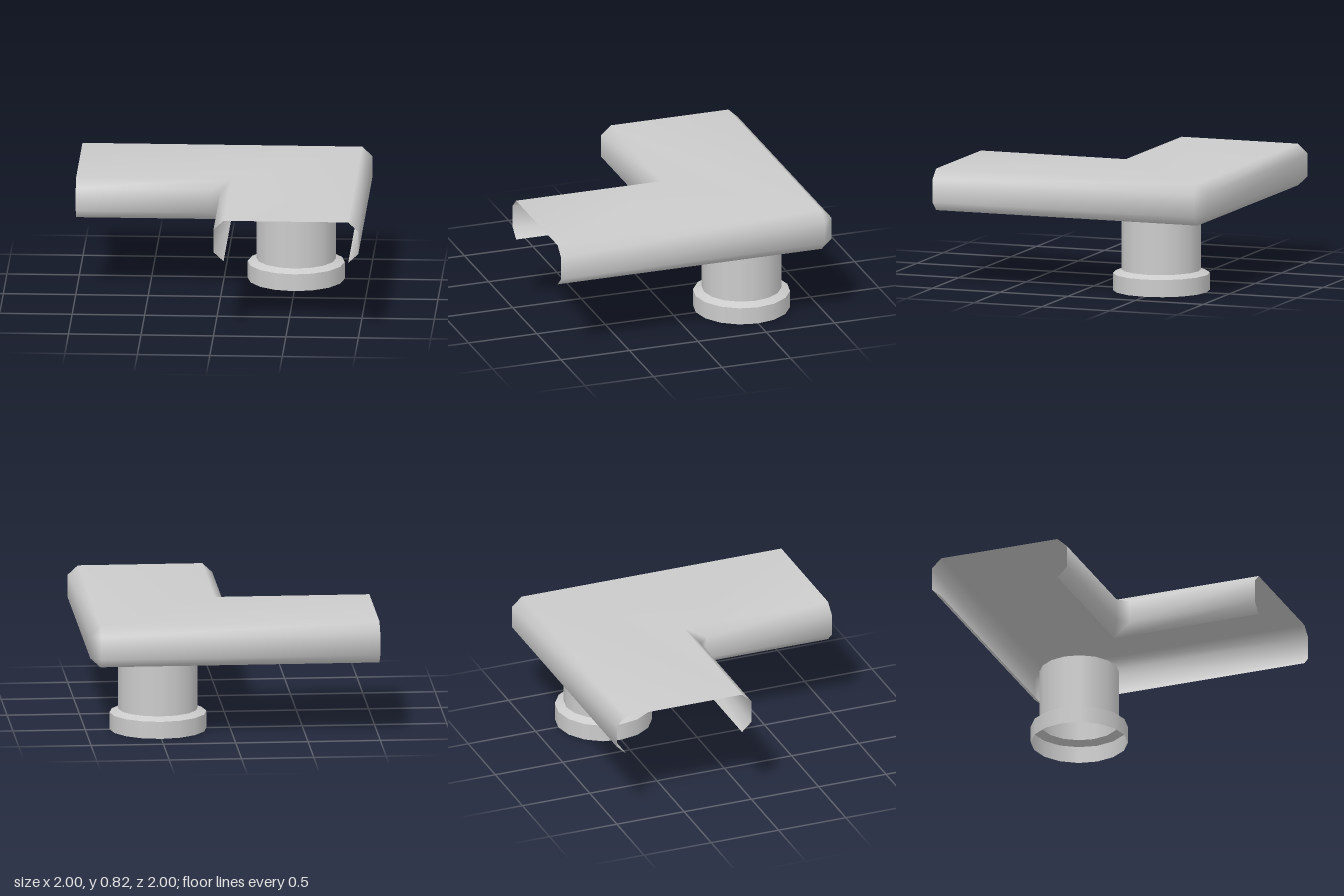
import * as THREE from 'three';
import { mergeVertices } from 'three/addons/utils/BufferGeometryUtils.js';

const material = new THREE.MeshStandardMaterial({ color: 0xcccccc, side: THREE.DoubleSide });

// L-shaped bent channel, open at both ends and underneath, chamfered edges
function cornerChannel() {
  const c = 0.07; // chamfer width
  const outerWall = [[-1, -1], [1 - c, -1], [1, c - 1], [1, 1]];
  const outerInset = [[-1, c - 1], [1 - c, c - 1], [1 - c, c - 1], [1 - c, 1]];
  const innerWall = [[-1, 0], [-c, 0], [0, c], [0, 1]];
  const innerInset = [[-1, -c], [c, -c], [c, -c], [c, 1]];
  // cross-section from the outer lip, over the top, to the inner lip
  const section = [
    [outerInset, 0.535], [outerWall, 0.6], [outerWall, 0.76], [outerInset, 0.825],
    [innerInset, 0.825], [innerWall, 0.76], [innerWall, 0.6], [innerInset, 0.535],
  ];
  const positions = [], index = [], n = section.length;
  for (let i = 0; i < 4; i++) {
    for (const [path, y] of section) positions.push(path[i][0], y, path[i][1]);
  }
  for (let i = 0; i < 3; i++) {
    for (let j = 0; j < n - 1; j++) {
      const a = i * n + j, b = a + n;
      index.push(a, a + 1, b, b, a + 1, b + 1);
    }
  }
  let geometry = new THREE.BufferGeometry();
  geometry.setAttribute('position', new THREE.Float32BufferAttribute(positions, 3));
  geometry.setIndex(index);
  geometry = mergeVertices(geometry); // joins the mitred corners
  geometry.computeVertexNormals();
  return geometry;
}

// Open-ended ring of thin sheet between two heights
function sleeve(name, rTop, rBottom, y0, y1) {
  const mesh = new THREE.Mesh(
    new THREE.CylinderGeometry(rTop, rBottom, y1 - y0, 16, 1, true), material);
  mesh.name = name;
  mesh.position.y = (y0 + y1) / 2;
  return mesh;
}

export function createModel() {
  const model = new THREE.Group();
  model.name = 'cornerDuct';

  const channel = new THREE.Mesh(cornerChannel(), material);
  channel.name = 'cornerChannel';
  model.add(channel);

  // Vertical outlet pipe with flared collar
  const pipe = new THREE.Group();
  pipe.name = 'outletPipe';
  pipe.position.set(0.497, 0, -0.497);
  pipe.add(
    sleeve('pipeWall', 0.275, 0.275, 0.145, 0.535),
    sleeve('collarShoulder', 0.275, 0.335, 0.12, 0.145),
    sleeve('collar', 0.335, 0.335, 0, 0.12),
  );
  model.add(pipe);
  return model;
}
